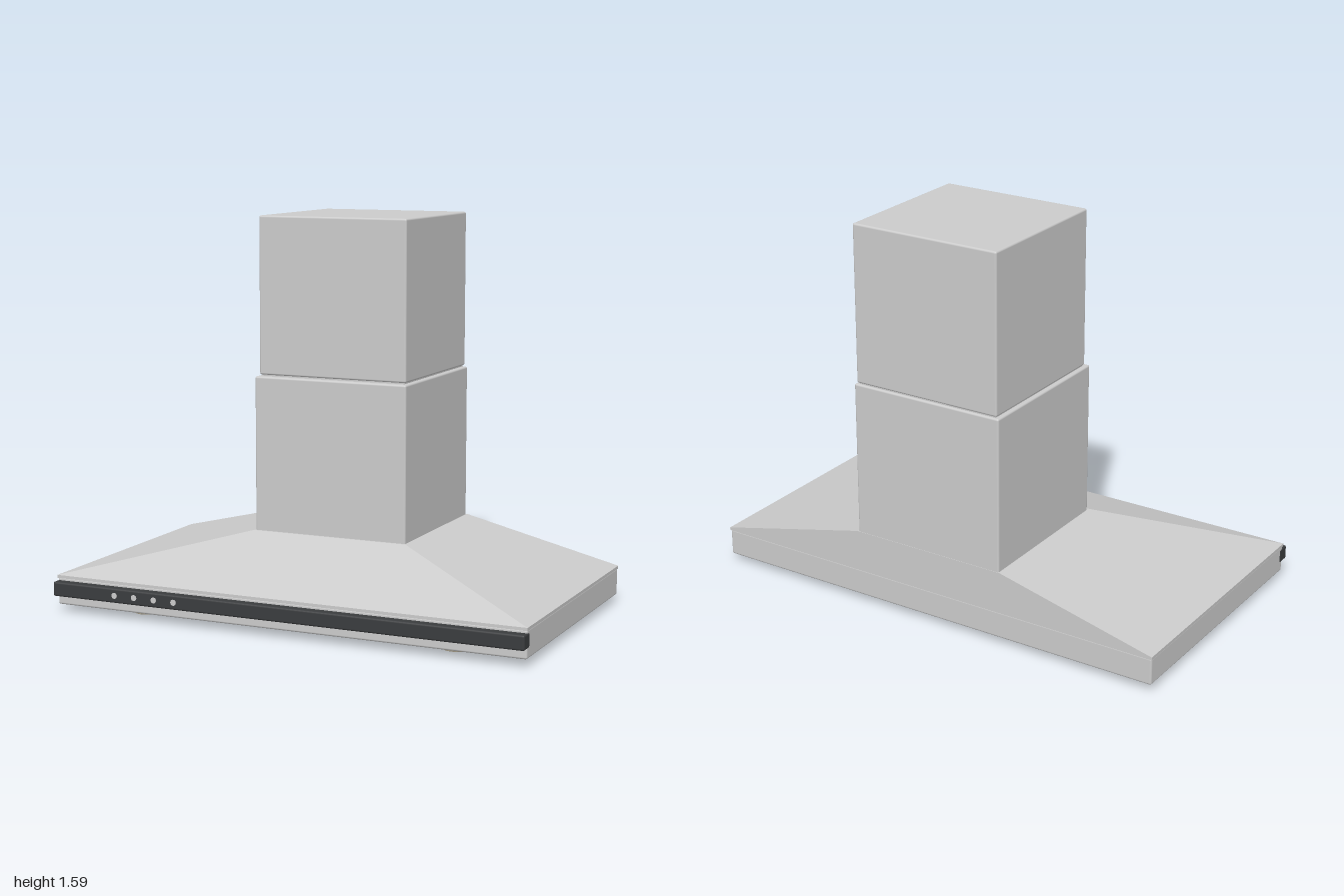
import * as THREE from 'three';
import { RoundedBoxGeometry } from 'three/addons/geometries/RoundedBoxGeometry.js';

const steel = new THREE.MeshStandardMaterial({ color: 0xcccccc });
const canopySteel = new THREE.MeshStandardMaterial({ color: 0xcccccc, flatShading: true });
const black = new THREE.MeshStandardMaterial({ color: 0x3a3c3e });
const filterBlack = new THREE.MeshStandardMaterial({ color: 0x222324 });
const slatGrey = new THREE.MeshStandardMaterial({ color: 0x58595b });
const lampCream = new THREE.MeshStandardMaterial({ color: 0xe8dcc0 });

// Rounded box given by its limits on each axis
function block(name, [x0, x1], [y0, y1], [z0, z1], radius, material) {
  const geometry = new RoundedBoxGeometry(x1 - x0, y1 - y0, z1 - z0, 3, radius);
  const mesh = new THREE.Mesh(geometry, material);
  mesh.position.set((x0 + x1) / 2, (y0 + y1) / 2, (z0 + z1) / 2);
  mesh.name = name;
  return mesh;
}

// Closed solid lofted through rectangular sections [halfWidth, y, zBack, zFront]
function loft(sections) {
  const points = sections.flatMap(([w, y, b, f]) => [-w, y, f, w, y, f, w, y, b, -w, y, b]);
  const index = [0, 2, 1, 0, 3, 2];
  for (let s = 0; s < sections.length - 1; s++) {
    for (let i = 0; i < 4; i++) {
      const a = s * 4 + i, b = s * 4 + (i + 1) % 4;
      index.push(a, b, b + 4, a, b + 4, a + 4);
    }
  }
  const t = (sections.length - 1) * 4;
  index.push(t, t + 1, t + 2, t, t + 2, t + 3);
  const geometry = new THREE.BufferGeometry();
  geometry.setAttribute('position', new THREE.Float32BufferAttribute(points, 3));
  geometry.setIndex(index);
  const flat = geometry.toNonIndexed();
  flat.computeVertexNormals();
  return flat;
}

// Flat slat with fully rounded corners, lying in the xz plane
function slatGeometry(width, length, depth) {
  const r = width * 0.35, w = width / 2, l = length / 2;
  const shape = new THREE.Shape();
  shape.absarc(w - r, l - r, r, 0, Math.PI / 2);
  shape.absarc(-w + r, l - r, r, Math.PI / 2, Math.PI);
  shape.absarc(-w + r, -l + r, r, Math.PI, Math.PI * 1.5);
  shape.absarc(w - r, -l + r, r, Math.PI * 1.5, Math.PI * 2);
  const geometry = new THREE.ExtrudeGeometry(shape, { depth, bevelEnabled: false, curveSegments: 6 });
  return geometry.rotateX(Math.PI / 2);
}

export function createModel() {
  const hood = new THREE.Group();
  hood.name = 'rangeHood';

  // Base tray and the sloping canopy above it
  hood.add(block('baseTray', [-0.998, 0.998], [0.03, 0.141], [-0.57, 0.535], 0.008, steel));
  const canopy = new THREE.Mesh(loft([
    [1, 0.138, -0.572, 0.537],
    [1, 0.15, -0.572, 0.537],
    [0.335, 0.31, -0.572, 0.1],
  ]), canopySteel);
  canopy.name = 'canopy';
  hood.add(canopy);

  // Telescoping chimney
  hood.add(block('lowerChimney', [-0.33, 0.33], [0.28, 0.94], [-0.57, 0.092], 0.008, steel));
  hood.add(block('upperChimney', [-0.32, 0.32], [0.945, 1.585], [-0.567, 0.07], 0.008, steel));
  hood.add(block('chimneyJoint', [-0.312, 0.312], [0.9, 0.98], [-0.56, 0.062], 0.002, steel));

  // Front control strip with push buttons
  hood.add(block('controlStrip', [-1, 1], [0.07, 0.129], [0.51, 0.57], 0.008, black));
  const buttonGeometry = new THREE.CylinderGeometry(0.012, 0.012, 0.012, 20).rotateX(Math.PI / 2);
  for (let i = 0; i < 4; i++) {
    const button = new THREE.Mesh(buttonGeometry, steel);
    button.position.set(-0.715 + i * 0.089, 0.1, 0.566);
    button.name = 'button';
    hood.add(button);
  }

  // Grease filter underneath, with slats running front to back
  hood.add(block('filterPanel', [-0.935, 0.935], [0.022, 0.045], [-0.505, 0.475], 0.003, filterBlack));
  const slat = slatGeometry(0.115, 0.78, 0.006);
  for (let i = 0; i < 8; i++) {
    const mesh = new THREE.Mesh(slat, slatGrey);
    mesh.position.set(-0.8 + i * (1.6 / 7), 0.025, -0.025);
    mesh.name = 'filterSlat';
    hood.add(mesh);
  }

  // Pair of round lamps near the front
  const lampProfile = [[0, 0], [0.054, 0], [0.061, 0.004], [0.063, 0.012], [0.063, 0.03], [0, 0.03]]
    .map(([r, y]) => new THREE.Vector2(r, y));
  const lampGeometry = new THREE.LatheGeometry(lampProfile, 32);
  for (const side of [-1, 1]) {
    const lamp = new THREE.Mesh(lampGeometry, lampCream);
    lamp.position.set(side * 0.667, 0, 0.387);
    lamp.name = side > 0 ? 'leftLamp' : 'rightLamp';
    hood.add(lamp);
  }
  return hood;
}
